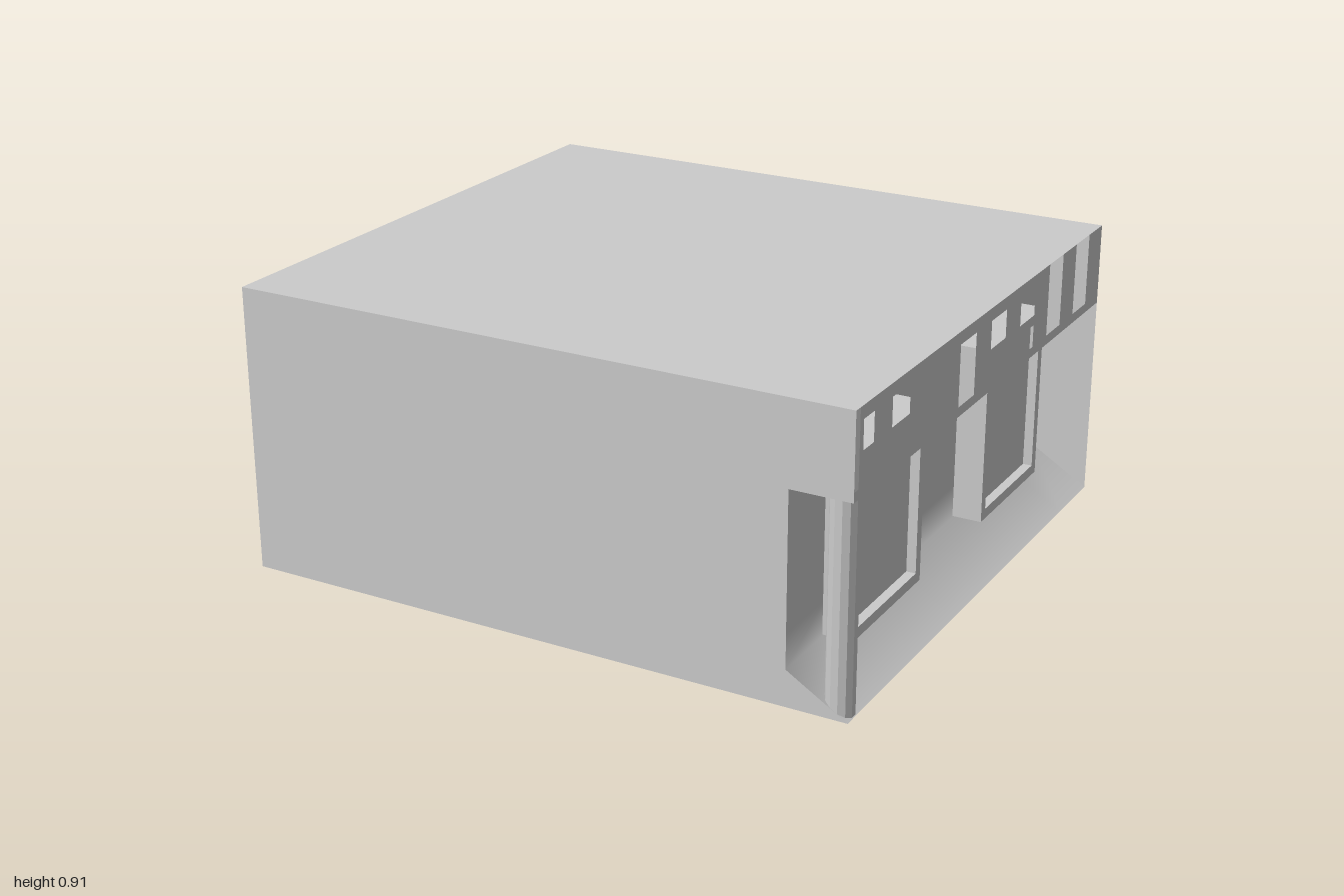
import * as THREE from 'three';

const material = new THREE.MeshStandardMaterial({ color: 0xcccccc, side: THREE.DoubleSide });
const W = 1, H = 0.91, D = 0.91;           // half width, height, half depth
const WALL_X = 0.81, KERB_Y = 0.115;       // recessed wall and top of the sloped ground
const BEAM_Y = 0.65, SLOT_Y = 0.68;        // underside of the beam, sill of its slots

function add(parent, name, geometry) {
  const mesh = new THREE.Mesh(geometry, material);
  mesh.name = name;
  parent.add(mesh);
  return mesh;
}

function polygon(points) {
  return new THREE.Shape(points.map(([x, y]) => new THREE.Vector2(x, y)));
}

const rectangle = (x0, y0, x1, y1) => polygon([[x0, y0], [x1, y0], [x1, y1], [x0, y1]]);

export function createModel() {
  const model = new THREE.Group();
  model.name = 'arcadeBuilding';

  // Outer shell: plain sheets, the front one open at the end of the arcade
  const front = polygon([[-W, 0], [W, 0], [WALL_X, KERB_Y], [WALL_X, BEAM_Y], [W, BEAM_Y], [W, H], [-W, H]]);
  add(model, 'frontWall', new THREE.ShapeGeometry(front).translate(0, 0, D));
  add(model, 'backWall', new THREE.PlaneGeometry(2 * W, H).rotateY(Math.PI).translate(0, H / 2, -D));
  add(model, 'plainSideWall', new THREE.PlaneGeometry(2 * D, H).rotateY(-Math.PI / 2).translate(-W, H / 2, 0));
  add(model, 'roof', new THREE.PlaneGeometry(2 * W, 2 * D).rotateX(-Math.PI / 2).translate(0, H, 0));
  add(model, 'base', new THREE.PlaneGeometry(2 * W, 2 * D).rotateX(Math.PI / 2));

  // Recessed wall running smoothly into the sloped ground
  const profile = [[WALL_X, H], [WALL_X, 0.22], [WALL_X, KERB_Y], [W, 0]];
  const recess = new THREE.PlaneGeometry(2 * D, 1, 8, profile.length - 1).rotateY(Math.PI / 2);
  const position = recess.attributes.position;
  for (let i = 0; i < position.count; i++) {
    const [x, y] = profile[Math.floor(i / 9)];
    position.setXYZ(i, x, y, position.getZ(i));
  }
  recess.computeVertexNormals();
  add(model, 'recessedWallAndSlope', recess);

  // Slotted beam along the open side; shape x runs towards the back
  const pitch = 2 * D / 8;
  const outline = [[-D, BEAM_Y], [D, BEAM_Y], [D, H]];
  for (let i = 7; i >= 0; i--) {
    const start = -D + i * pitch, end = start + pitch / 2;
    outline.push([end, H], [end, SLOT_Y], [start, SLOT_Y]);
    if (i > 0) outline.push([start, H]);
  }
  add(model, 'slottedBeam', new THREE.ShapeGeometry(polygon(outline)).rotateY(Math.PI / 2).translate(W, 0, 0));

  // Two framed windows standing out from the recessed wall
  for (const z of [0.458, -0.458]) {
    const unit = new THREE.Group();
    unit.name = 'window';
    unit.position.set(WALL_X, 0, z);
    const frame = rectangle(-0.226, 0.12, 0.226, 0.686);
    frame.holes.push(rectangle(-0.195, 0.153, 0.195, 0.653));
    add(unit, 'windowFrame', new THREE.ExtrudeGeometry(frame, { depth: 0.095, bevelEnabled: false }).rotateY(Math.PI / 2));
    add(unit, 'windowPane', new THREE.PlaneGeometry(0.39, 0.5).rotateY(Math.PI / 2).translate(0.065, 0.403, 0));
    model.add(unit);
  }

  // Faceted corner column
  const column = new THREE.CylinderGeometry(0.043, 0.043, H - 0.004, 12, 1, true).rotateY(Math.PI / 12).toNonIndexed();
  column.computeVertexNormals();
  add(model, 'cornerColumn', column).position.set(0.956, H / 2, 0.867);

  return model;
}
